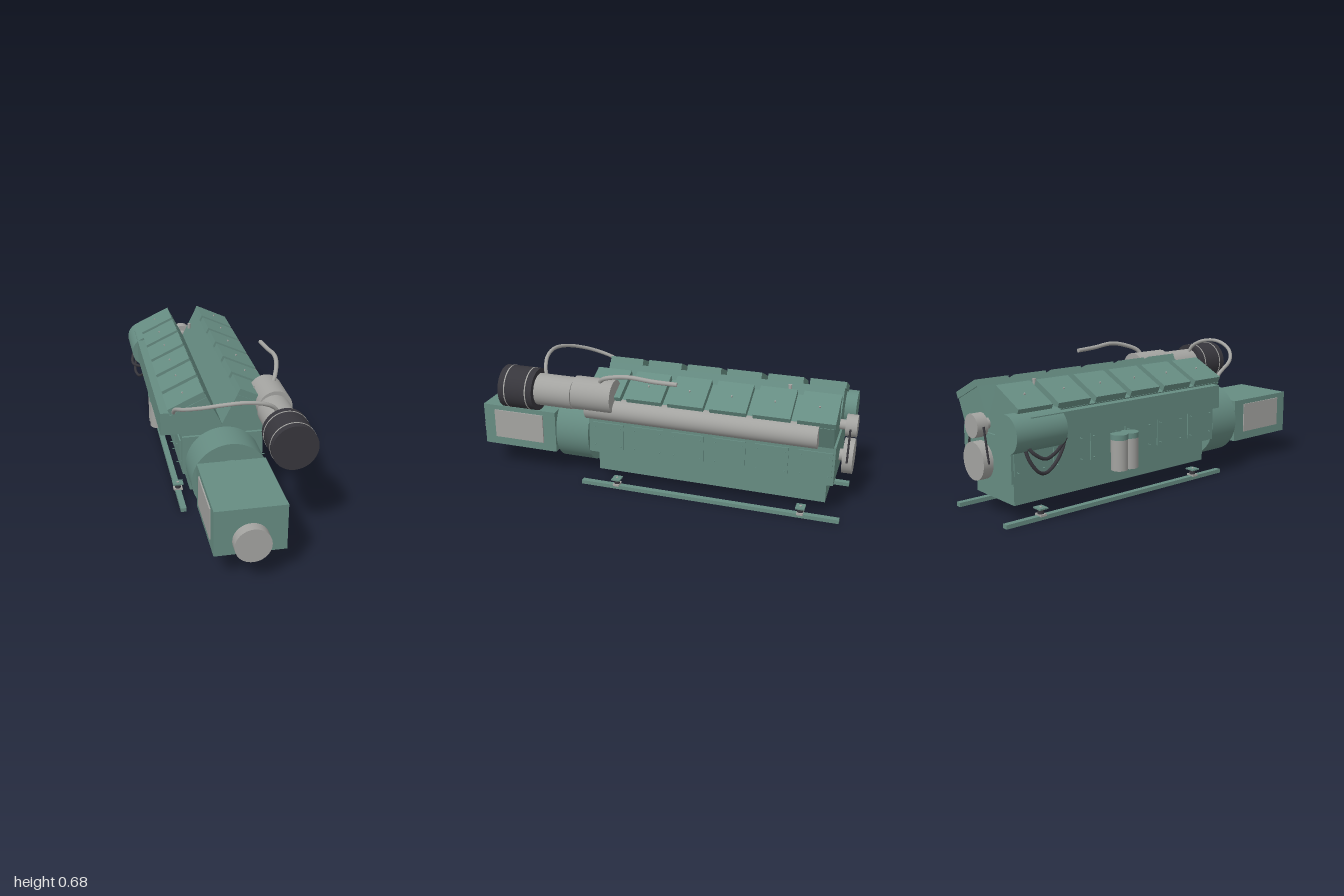
import * as THREE from 'three';

const mat = (name, color) => {
  const m = new THREE.MeshStandardMaterial({ color });
  m.name = name;
  return m;
};

export function createModel() {
  const teal = mat('teal paint', 0x668c82);
  const steel = mat('grey metal', 0xa3a3a0);
  const black = mat('black rubber', 0x37363c);
  const CX = -0.0125; // engine centre line
  const root = new THREE.Group();
  root.name = 'generatorEngine';

  const add = (name, geo, m, parent = root) => {
    const mesh = new THREE.Mesh(geo, m);
    mesh.name = name;
    parent.add(mesh);
    return mesh;
  };
  // box given by its limits on each axis
  const box = (name, m, x0, x1, y0, y1, z0, z1) => {
    const b = add(name, new THREE.BoxGeometry(x1 - x0, y1 - y0, z1 - z0), m);
    b.position.set((x0 + x1) / 2, (y0 + y1) / 2, (z0 + z1) / 2);
    return b;
  };
  // cylinder along z
  const drum = (name, m, x, y, r, z0, z1, seg = 48) => {
    const c = add(name, new THREE.CylinderGeometry(r, r, z1 - z0, seg).rotateX(Math.PI / 2), m);
    c.position.set(x, y, (z0 + z1) / 2);
    return c;
  };
  // upright cylinder
  const post = (name, m, x, z, r, y0, y1, seg = 24) => {
    const c = add(name, new THREE.CylinderGeometry(r, r, y1 - y0, seg), m);
    c.position.set(x, (y0 + y1) / 2, z);
    return c;
  };
  const tube = (name, m, r, pts, closed = false) => {
    const curve = new THREE.CatmullRomCurve3(pts.map(p => new THREE.Vector3(...p)), closed);
    add(name, new THREE.TubeGeometry(curve, 60, r, 10, closed), m);
    if (!closed) for (const [t, s] of [[0, -1], [1, 1]]) {
      const cap = add(name + 'End', new THREE.CircleGeometry(r, 10), m);
      cap.position.copy(curve.getPointAt(t));
      cap.lookAt(cap.position.clone().addScaledVector(curve.getTangentAt(t), s));
    }
  };

  // Crankcase, oil pan and flywheel housing
  box('crankcase', teal, CX - 0.1975, CX + 0.1975, 0.19, 0.39, -0.925, 0.325);
  box('oilPan', teal, CX - 0.158, CX + 0.158, 0.075, 0.19, -0.89, 0.29);
  drum('flywheelHousing', teal, CX, 0.254, 0.185, 0.34, 0.52, 64);
  drum('driveShaft', teal, CX, 0.254, 0.1, 0.32, 0.54);

  // V-shaped cylinder block
  const half = [[0.075, 0.588], [0.252, 0.505], [0.195, 0.38]];
  const outline = [[0, 0.44], ...half.map(([x, y]) => [-x, y]), ...half.slice().reverse()];
  const vShape = new THREE.Shape(outline.map(([x, y]) => new THREE.Vector2(x + CX, y)));
  add('cylinderBlock', new THREE.ExtrudeGeometry(vShape, { depth: 1.225, bevelEnabled: false }), teal)
    .position.z = -0.915;

  // Rocker covers and crankcase inspection doors, six per side
  const tilt = THREE.MathUtils.degToRad(25);
  for (const s of [-1, 1]) {
    for (let i = 0; i < 6; i++) {
      const z = 0.218 - i * 0.21;
      const cover = new THREE.Group();
      cover.name = 'rockerCover';
      cover.position.set(CX + s * 0.1695, 0.561, z);
      cover.rotation.z = -s * tilt;
      root.add(cover);
      add('coverLid', new THREE.BoxGeometry(0.193, 0.033, 0.178), teal, cover);
      add('coverBolt', new THREE.CylinderGeometry(0.004, 0.004, 0.01, 10), steel, cover).position.y = 0.019;

      const door = new THREE.Group();
      door.name = 'inspectionDoor';
      door.position.set(CX + s * 0.204, 0.293, z);
      root.add(door);
      add('doorPlate', new THREE.BoxGeometry(0.006, 0.137, 0.165), teal, door);
      for (const y of [-0.052, 0.048]) for (const dz of [-0.068, 0.068])
        add('doorBolt', new THREE.CylinderGeometry(0.0025, 0.0025, 0.03, 8).rotateZ(Math.PI / 2), teal, door)
          .position.set(s * 0.003, y, dz);
    }
  }
  post('oilFillerPipe', steel, CX, -0.66, 0.009, 0.575, 0.604);

  // Generator
  box('generatorBox', teal, CX - 0.164, CX + 0.163, 0.135, 0.36, 0.535, 0.95);
  for (const s of [-1, 1]) {
    const x = CX + s * 0.166;
    box('generatorVent', steel, x - 0.004, x + 0.004, 0.18, 0.335, 0.605, 0.885);
  }
  drum('generatorEndCap', steel, CX, 0.203, 0.083, 0.91, 1.0);

  // Intake pipe, turbo and air cleaner on the left side
  drum('intakePipe', steel, 0.227, 0.457, 0.058, -0.845, 0.31);
  drum('turboHousing', steel, 0.236, 0.531, 0.084, 0.16, 0.365);
  drum('turboConnector', steel, 0.227, 0.52, 0.06, 0.36, 0.38);
  drum('airDuct', steel, 0.227, 0.52, 0.081, 0.375, 0.57);
  drum('airCleaner', black, 0.227, 0.518, 0.108, 0.57, 0.755, 64);
  for (const z of [0.605, 0.72]) drum('cleanerBand', steel, 0.227, 0.518, 0.1095, z - 0.003, z + 0.003, 64);
  tube('vacuumPipe', steel, 0.011, [[0.25, 0.59, 0.235], [0.268, 0.625, 0.215], [0.295, 0.657, 0.14],
    [0.306, 0.67, 0.06], [0.3, 0.66, -0.06], [0.29, 0.655, -0.175]]);
  tube('crossoverPipe', steel, 0.0095, [[-0.247, 0.505, 0.29], [-0.245, 0.55, 0.34], [-0.215, 0.595, 0.44],
    [-0.14, 0.635, 0.52], [-0.05, 0.662, 0.562], [0.04, 0.671, 0.577], [0.13, 0.655, 0.57],
    [0.18, 0.625, 0.555], [0.2, 0.59, 0.545]]);

  // Oil cooler, oil filters and hoses on the right side
  drum('coolerTank', teal, -0.251, 0.429, 0.087, -0.972, -0.71);
  box('coolerBody', teal, -0.307, -0.2, 0.383, 0.5, -0.88, 0.27);
  for (const z of [-0.35, -0.285]) {
    post('oilFilter', steel, -0.253, z, 0.041, 0.16, 0.31, 32);
    post('oilFilterCap', teal, -0.253, z, 0.043, 0.31, 0.336, 32);
  }
  tube('upperHose', black, 0.008, [[-0.3, 0.375, -0.9], [-0.322, 0.345, -0.88], [-0.33, 0.315, -0.83],
    [-0.305, 0.322, -0.76], [-0.27, 0.35, -0.69], [-0.24, 0.365, -0.65]]);
  tube('lowerHose', black, 0.008, [[-0.285, 0.36, -0.9], [-0.303, 0.31, -0.89], [-0.314, 0.255, -0.85],
    [-0.3, 0.243, -0.8], [-0.28, 0.28, -0.73], [-0.25, 0.34, -0.67], [-0.22, 0.36, -0.65]]);

  // Rear pulleys and belt
  drum('lowerPulley', steel, CX, 0.268, 0.088, -0.995, -0.945);
  drum('upperPulley', steel, CX, 0.43, 0.055, -1.0, -0.945);
  drum('lowerPulleyShaft', steel, CX, 0.268, 0.03, -0.95, -0.92, 24);
  drum('upperPulleyShaft', steel, CX, 0.43, 0.025, -0.95, -0.91, 24);
  for (const s of [-1, 1])
    tube('driveBelt', black, 0.005, [[CX + s * 0.09, 0.268, -0.97], [CX + s * 0.073, 0.35, -0.97],
      [CX + s * 0.056, 0.432, -0.97]]);

  // Base rails with rubber mounts
  for (const s of [-1, 1]) {
    const x = CX + s * 0.2025;
    box('baseRail', teal, x - 0.0145, x + 0.0145, 0, 0.02, -0.97, 0.37);
    for (const z of [0.177, -0.78]) {
      box('mountFoot', steel, x - 0.023, x + 0.023, 0.018, 0.028, z - 0.016, z + 0.016);
      post('rubberMount', black, x, z, 0.015, 0.028, 0.047);
      post('mountStud', steel, x, z, 0.006, 0.047, 0.061, 12);
      box('mountPlate', teal, x - 0.027, x + 0.027, 0.051, 0.058, z - 0.023, z + 0.023);
    }
  }
  return root;
}
